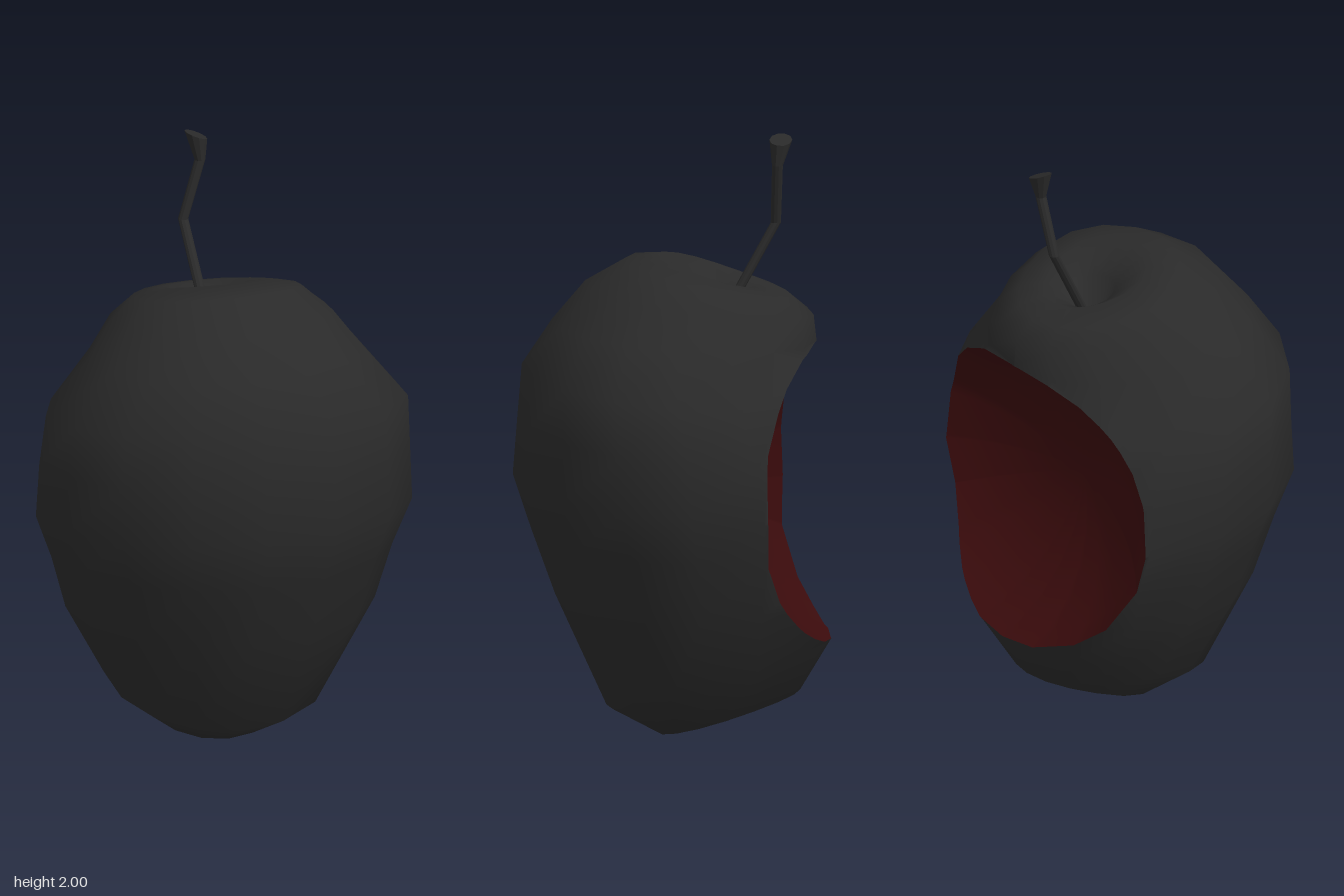
import * as THREE from 'three';
import { mergeVertices } from 'three/addons/utils/BufferGeometryUtils.js';

const V = (x, y, z) => new THREE.Vector3(x, y, z);
const SIDES = 16;

// Triangles joining a stack of closed rings that hold equal numbers of points
function loft(rings) {
  const tris = [];
  for (let i = 0; i < rings.length - 1; i++) {
    const lo = rings[i], hi = rings[i + 1], n = lo.length;
    for (let j = 0; j < n; j++) {
      const k = (j + 1) % n;
      tris.push([lo[j], lo[k], hi[k]], [lo[j], hi[k], hi[j]]);
    }
  }
  return tris.filter(([a, b, c]) =>
    b.clone().sub(a).cross(c.clone().sub(a)).length() > 1e-8);
}

function meshFrom(name, tris, color, flatShading = false) {
  const geo = new THREE.BufferGeometry().setFromPoints(tris.flat());
  const smooth = mergeVertices(geo, 1e-4);
  smooth.computeVertexNormals();
  const mesh = new THREE.Mesh(smooth, new THREE.MeshStandardMaterial({ color, flatShading }));
  mesh.name = name;
  return mesh;
}

// Fruit sections, bottom dimple to top dimple: front z, front y, back z, back y, half width
const SECTIONS = [
  [-0.18, 0.13, -0.18, 0.13, 0],
  [-0.10, 0.10, -0.26, 0.15, 0.08],
  [-0.03, 0.02, -0.36, 0.13, 0.16],
  [0.05, 0.00, -0.42, 0.145, 0.22],
  [0.22, 0.09, -0.525, 0.32, 0.37],
  [0.39, 0.46, -0.63, 0.46, 0.51],
  [0.47, 0.68, -0.69, 0.60, 0.56],
  [0.53, 0.86, -0.71, 0.74, 0.62],
  [0.515, 1.05, -0.67, 0.92, 0.612],
  [0.50, 1.23, -0.58, 1.11, 0.60],
  [0.40, 1.38, -0.475, 1.31, 0.46],
  [0.29, 1.51, -0.465, 1.40, 0.37],
  [0.15, 1.59, -0.39, 1.46, 0.28],
  [0.04, 1.60, -0.30, 1.49, 0.17],
  [-0.07, 1.51, -0.23, 1.46, 0.08],
  [-0.15, 1.37, -0.15, 1.37, 0],
];

// One section: narrower behind than in front, with a fuller left cheek
function sectionRing([zf, yf, zb, yb, w]) {
  return Array.from({ length: SIDES }, (_, j) => {
    const a = (j / SIDES) * Math.PI * 2, t = (1 - Math.cos(a)) / 2;
    const lobe = 2 * Math.abs(Math.sin(a)) * Math.cos(a);
    const bulge = lobe > 0 && a > Math.PI ? 0.03 : 0.08;
    return V(w * Math.sin(a) * (1 + bulge * lobe), yf + (yb - yf) * t, zf + (zb - zf) * t);
  });
}

// Slightly squared ellipsoid that takes the bite out of the back
const BITE = V(0, 0.825, -0.68), BITE_SIZE = V(0.73, 0.535, 0.5), SQUARE = 2.4;
const toBite = (p) => p.clone().sub(BITE).divide(BITE_SIZE);
const biteNorm = ({ x, y, z }) =>
  Math.hypot((Math.abs(x) ** SQUARE + Math.abs(y) ** SQUARE) ** (1 / SQUARE), z);
const outside = (p) => biteNorm(toBite(p)) >= 1;

// Point where the segment from an inner to an outer point leaves the bite
function crossing(inner, outer) {
  let lo = 0, hi = 1;
  for (let i = 0; i < 30; i++) {
    const mid = (lo + hi) / 2;
    if (outside(inner.clone().lerp(outer, mid))) hi = mid; else lo = mid;
  }
  return inner.clone().lerp(outer, hi);
}

// Keeps what lies outside the bite and collects the points of its rim
function cutBite(tris) {
  const kept = [], rim = [];
  for (const tri of tris) {
    const poly = [];
    tri.forEach((p, i) => {
      const q = tri[(i + 1) % 3], pOut = outside(p), qOut = outside(q);
      if (pOut) poly.push(p);
      if (pOut !== qOut) {
        const c = pOut ? crossing(q, p) : crossing(p, q);
        poly.push(c);
        if (!rim.some((r) => r.distanceTo(c) < 1e-3)) rim.push(c);
      }
    });
    for (let i = 1; i < poly.length - 1; i++) kept.push([poly[0], poly[i], poly[i + 1]]);
  }
  const angle = (p) => Math.atan2(p.y - BITE.y, p.x);
  rim.sort((a, b) => angle(b) - angle(a));
  return { kept, rim };
}

// Hollow running from the rim to the deepest point of the bite
function biteRings(rim, steps) {
  return Array.from({ length: steps + 1 }, (_, i) => rim.map((p) => {
    if (i === 0) return p;
    const d = toBite(p).lerp(V(0, 0, 1), i / steps);
    return d.divideScalar(biteNorm(d)).multiply(BITE_SIZE).add(BITE);
  }));
}

// Stem joints: x, y, z, radius, slope of the cut
const STEM = [
  [0, 1.34, -0.14, 0.018, 0],
  [-0.042, 1.70, -0.338, 0.017, 0],
  [0.018, 1.90, -0.346, 0.018, 0],
  [0.007, 1.985, -0.357, 0.038, 0.4],
  [0.007, 1.985, -0.357, 0, 0],
];

function stemRing([x, y, z, r, slope]) {
  return Array.from({ length: 10 }, (_, j) => {
    const a = (j / 10) * Math.PI * 2, dx = r * Math.sin(a);
    return V(x + dx, y - slope * dx, z + r * Math.cos(a));
  });
}

export function createModel() {
  const group = new THREE.Group();
  group.name = 'bittenFruit';
  const { kept, rim } = cutBite(loft(SECTIONS.map(sectionRing)));
  group.add(
    meshFrom('skin', kept, 0x2a2a2a),
    meshFrom('biteFlesh', loft(biteRings(rim, 6)), 0x3a0b0c),
    meshFrom('stem', loft(STEM.map(stemRing)), 0x2a2a2a, true),
  );
  return group;
}
